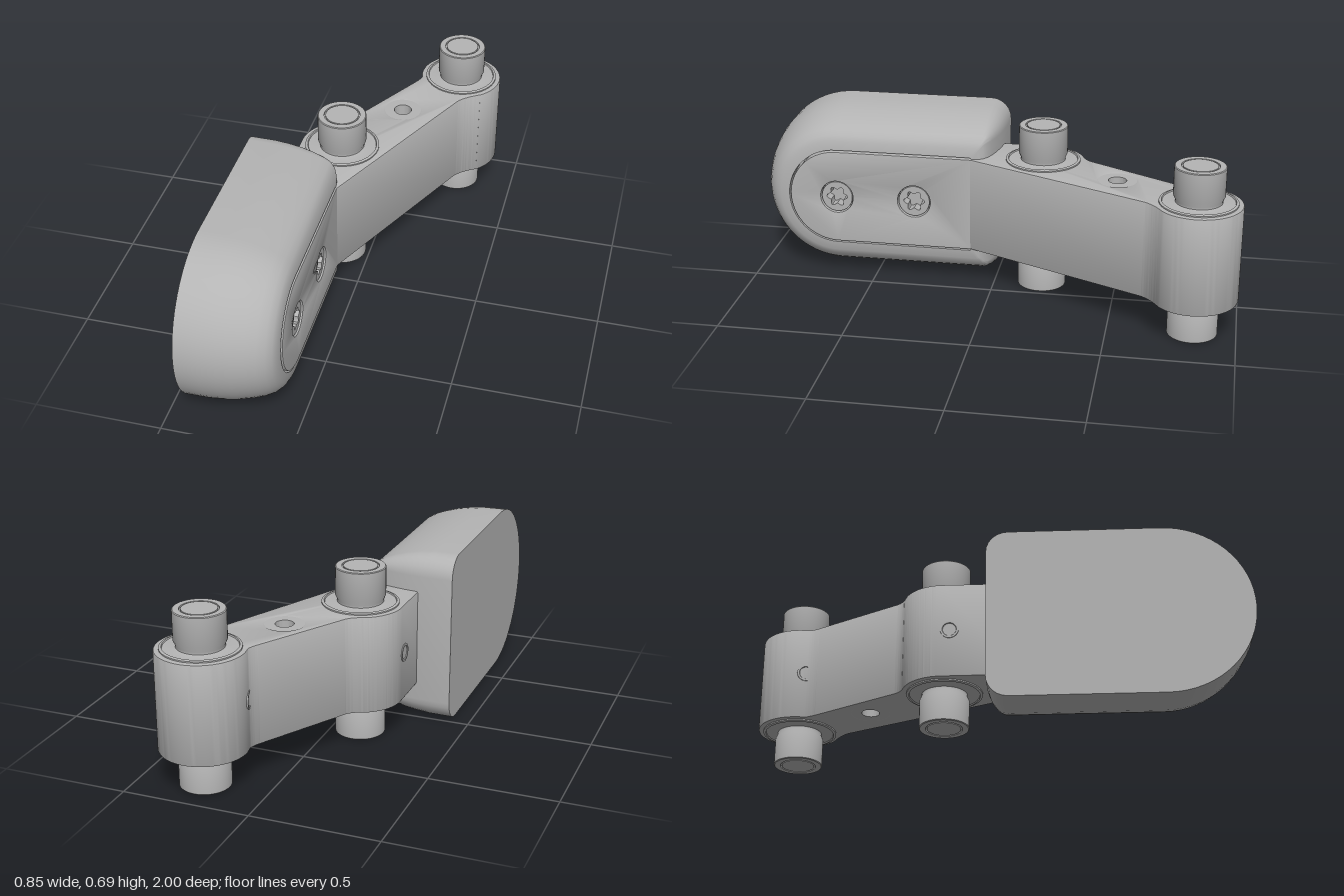
import * as THREE from 'three';
import { toCreasedNormals } from 'three/addons/utils/BufferGeometryUtils.js';

const MID = 0.345; // height of the horizontal mirror plane
const metal = new THREE.MeshStandardMaterial({ color: 0xb4b4b4 });
metal.name = 'grey';

function add(parent, name, geo, crease = 0.6) {
  const mesh = new THREE.Mesh(toCreasedNormals(geo, crease), metal);
  mesh.name = name;
  parent.add(mesh);
  return mesh;
}

function circleHole(x, y, r) {
  return new THREE.Path().absarc(x, y, r, 0, Math.PI * 2, true);
}

// Extrude with a small bevel that keeps the outline size
function extrude(shape, depth, bevel) {
  return new THREE.ExtrudeGeometry(shape, {
    depth: depth - 2 * bevel, curveSegments: 32, bevelEnabled: bevel > 0,
    bevelThickness: bevel, bevelSize: bevel, bevelOffset: -bevel, bevelSegments: 2,
  }).translate(0, 0, bevel);
}

// Revolve [radius, height] points listed from bottom to top
function lathe(points, segments = 40) {
  return new THREE.LatheGeometry(points.map(p => new THREE.Vector2(...p)), segments);
}

// Pad outline in (-z, y), moved inward by d
function padOutline(d) {
  const pts = [];
  const arc = (u, v, r, a0, a1, n) => {
    for (let i = 0; i <= n; i++) {
      const a = a0 + (a1 - a0) * i / n;
      pts.push([u + r * Math.cos(a), v + r * Math.sin(a)]);
    }
  };
  const h = 0.345 - d, back = 0.017 - d * 0.75, c = Math.max(0.085 - d, 0.012);
  arc(-0.655, MID, h, Math.PI / 2, Math.PI * 1.5, 32);
  arc(back - c, MID - h + c, c, -Math.PI / 2, 0, 6);
  arc(back - c, MID + h - c, c, 0, Math.PI / 2, 6);
  return pts;
}

// Loft of the outline along x, ending in a shallow recess for the plate
function padGeometry() {
  const sections = [[-0.425, 0], [-0.33, 0.001], [-0.27, 0.007], [-0.22, 0.016], [-0.17, 0.03],
    [-0.13, 0.045], [-0.1, 0.062], [-0.08, 0.083], [-0.069, 0.105], [-0.065, 0.142], [-0.12, 0.142]];
  const pos = [], index = [];
  const n = padOutline(0).length;
  for (const [x, d] of sections) for (const [u, v] of padOutline(d)) pos.push(x, v, -u);
  const last = (sections.length - 1) * n, centre = sections.length * n;
  pos.push(-0.425, MID, 0.4, -0.12, MID, 0.4);
  for (let j = 0; j < n; j++) {
    const k = (j + 1) % n;
    for (let i = 0; i < last; i += n) {
      index.push(i + j, i + k, i + n + k, i + j, i + n + k, i + n + j);
    }
    index.push(centre, k, j, centre + 1, last + j, last + k);
  }
  const geo = new THREE.BufferGeometry();
  geo.setAttribute('position', new THREE.Float32BufferAttribute(pos, 3));
  geo.setIndex(index);
  return geo;
}

export function createModel() {
  const model = new THREE.Group();
  model.name = 'hingeArm';
  const deg = Math.PI / 180;
  const bosses = [[-0.115, -0.195], [0.25, -0.83]];
  const bore = [0.065, -0.51];

  add(model, 'pad', padGeometry(), 0.7);

  // Arm: plan outline in (x, -z) with two round bosses
  const plan = new THREE.Shape();
  plan.moveTo(-0.062, -0.1);
  plan.lineTo(0.275, 0.625);
  plan.quadraticCurveTo(0.295, 0.662, 0.359, 0.7);
  plan.absarc(0.25, 0.83, 0.17, -50 * deg, 196 * deg, false);
  plan.quadraticCurveTo(0.085, 0.765, 0.068, 0.735);
  plan.lineTo(-0.125, 0.395);
  plan.quadraticCurveTo(-0.137, 0.372, -0.165, 0.358);
  plan.absarc(-0.115, 0.195, 0.17, 107 * deg, 180 * deg, false);
  plan.lineTo(-0.285, -0.1);
  plan.closePath();
  plan.holes.push(circleHole(bore[0], -bore[1], 0.074));
  add(model, 'arm', extrude(plan, 0.394, 0.007).rotateX(-Math.PI / 2).translate(0, 0.148, 0));

  // Bushing lining the through hole
  const bushing = lathe([[0.036, 0.39], [0.036, 0], [0.08, 0], [0.08, 0.39], [0.036, 0.39]]);
  add(model, 'bushing', bushing.translate(bore[0], 0.15, bore[1]));

  // Pins with collars, mirrored above and below the arm
  const upper = [[0.15, 0.19], [0.15, 0.202], [0.14, 0.205], [0.138, 0.2], [0.1, 0.2], [0.09, 0.203],
    [0.09, 0.212], [0.098, 0.23], [0.098, 0.342], [0.095, 0.345], [0.072, 0.345], [0.072, 0.338],
    [0.066, 0.338], [0.066, 0.345], [0, 0.345]];
  const lower = upper.map(([r, y]) => [r, -y]).reverse();
  for (const [x, z] of bosses) {
    add(model, 'pin', lathe([...lower, ...upper]).translate(x, MID, z));
  }

  // Small set screws in the outer sides of the bosses
  const setScrews = [[-0.285, -0.165, 0], [0.087, -0.787, 15]];
  for (const [x, z, turn] of setScrews) {
    const dish = lathe([[0.036, -0.01], [0.036, 0.004], [0.028, 0.004], [0.026, 0.001], [0, 0.001]], 24);
    dish.rotateZ(Math.PI / 2).rotateY(turn * deg).translate(x, MID, z);
    add(model, 'setScrew', dish);
  }

  // Mounting plate in (-z, y), set into the pad
  const screwZ = [0.655, 0.33];
  const face = new THREE.Shape();
  face.moveTo(-0.09, MID - 0.196);
  face.lineTo(-0.09, MID + 0.196);
  face.lineTo(-0.655, MID + 0.196);
  face.absarc(-0.655, MID, 0.196, 90 * deg, 270 * deg, false);
  face.closePath();
  for (const z of screwZ) face.holes.push(circleHole(-z, MID, 0.068));
  add(model, 'mountingPlate', extrude(face, 0.06, 0.004).rotateY(Math.PI / 2).translate(-0.12, 0, 0));

  // Plate screws with a six-lobed socket
  for (const z of screwZ) {
    const head = new THREE.Shape().absarc(0, 0, 0.064, 0, Math.PI * 2, false);
    const star = [];
    for (let i = 0; i < 48; i++) {
      const a = -i * Math.PI / 24, r = 0.037 + 0.007 * Math.cos(6 * a);
      star.push(new THREE.Vector2(r * Math.cos(a), r * Math.sin(a)));
    }
    head.holes.push(new THREE.Path(star));
    add(model, 'screw', extrude(head, 0.05, 0).rotateY(Math.PI / 2).translate(-0.117, MID, z));
  }
  return model;
}
